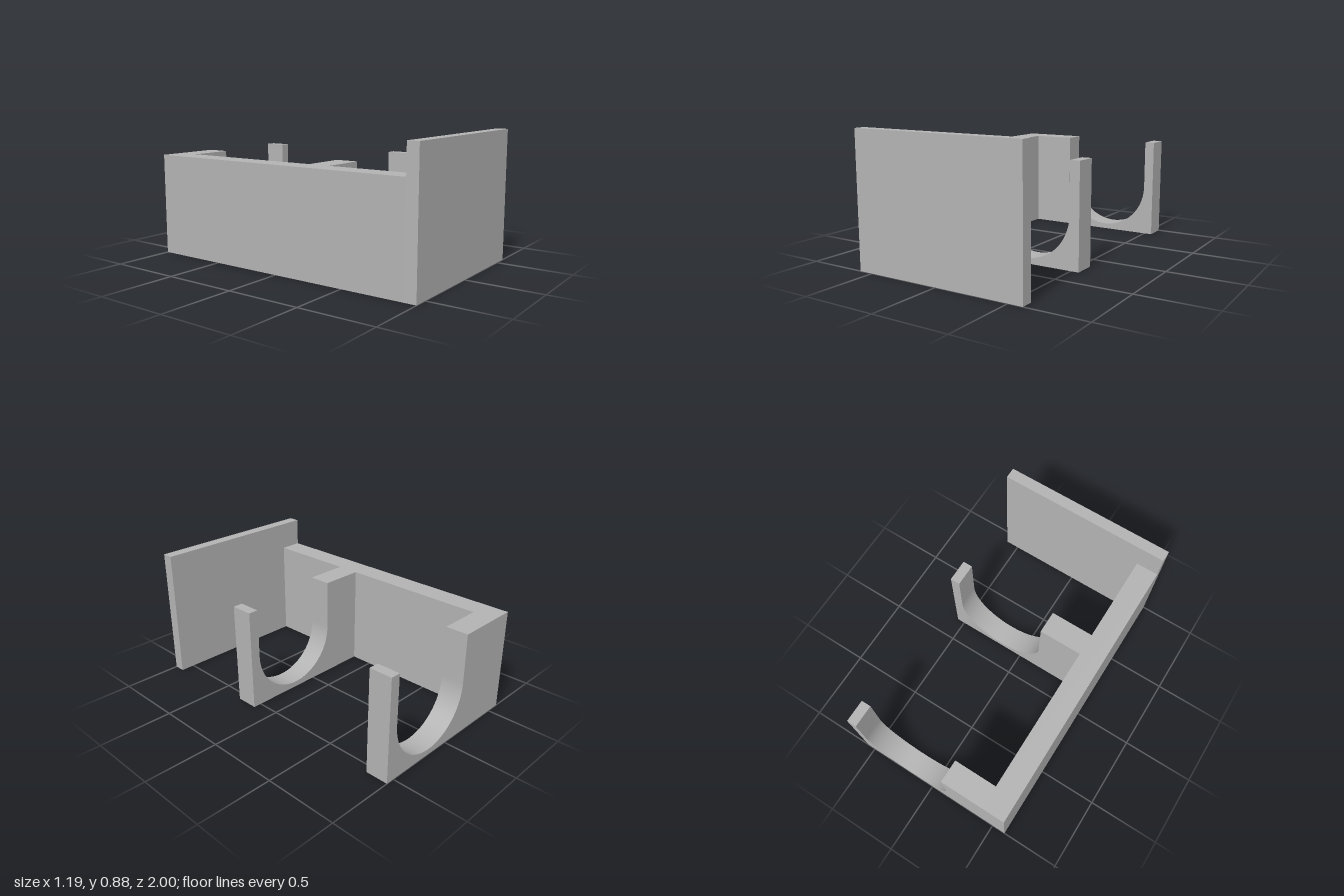
import * as THREE from 'three';
import { toCreasedNormals } from 'three/addons/utils/BufferGeometryUtils.js';

const LEFT = -0.597, RIGHT = 0.597;  // full width in x
const RAIL_INNER = -0.443;           // inner face of the side rail
const RAIL_HEIGHT = 0.692;
const PLATE_HEIGHT = 0.885;
const PLATE_BACK = 0.923;

export function createModel() {
  const group = new THREE.Group();
  group.name = 'wallBracket';
  const grey = new THREE.MeshStandardMaterial({ color: 0xb2b2b2 });
  grey.name = 'plain grey';

  const add = (name, geometry) => {
    const mesh = new THREE.Mesh(geometry, grey);
    mesh.name = name;
    group.add(mesh);
    return mesh;
  };

  // Box given by its lower and upper corners
  const addBox = (name, [x0, y0, z0], [x1, y1, z1]) =>
    add(name, new THREE.BoxGeometry(x1 - x0, y1 - y0, z1 - z0))
      .position.set((x0 + x1) / 2, (y0 + y1) / 2, (z0 + z1) / 2);

  // Tall front plate and the long side rail behind it
  addBox('frontPlate', [LEFT, 0, PLATE_BACK], [RIGHT, PLATE_HEIGHT, 1]);
  addBox('sideRail', [LEFT, 0, -1], [RAIL_INNER, RAIL_HEIGHT, PLATE_BACK]);

  // Cradle arm: a block with a round-bottomed slot open at the top
  const slotX = 0.17, radius = 0.319, slotY = 0.038 + radius, armEnd = 0.556;
  const profile = new THREE.Shape();
  profile.moveTo(RAIL_INNER, 0);
  profile.lineTo(armEnd, 0);
  profile.lineTo(armEnd, RAIL_HEIGHT);
  profile.lineTo(slotX + radius, RAIL_HEIGHT);
  profile.lineTo(slotX + radius, slotY);
  profile.absarc(slotX, slotY, radius, 0, -Math.PI, true);
  profile.lineTo(slotX - radius, RAIL_HEIGHT);
  profile.lineTo(RAIL_INNER, RAIL_HEIGHT);
  profile.closePath();
  const armGeometry = toCreasedNormals(
    new THREE.ExtrudeGeometry(profile, { depth: 0.154, bevelEnabled: false, curveSegments: 48 }), 0.5);

  // One arm flush with the rear end, one nearer the plate
  add('rearCradle', armGeometry).position.z = -1;
  add('frontCradle', armGeometry).position.z = 0.154;

  return group;
}
